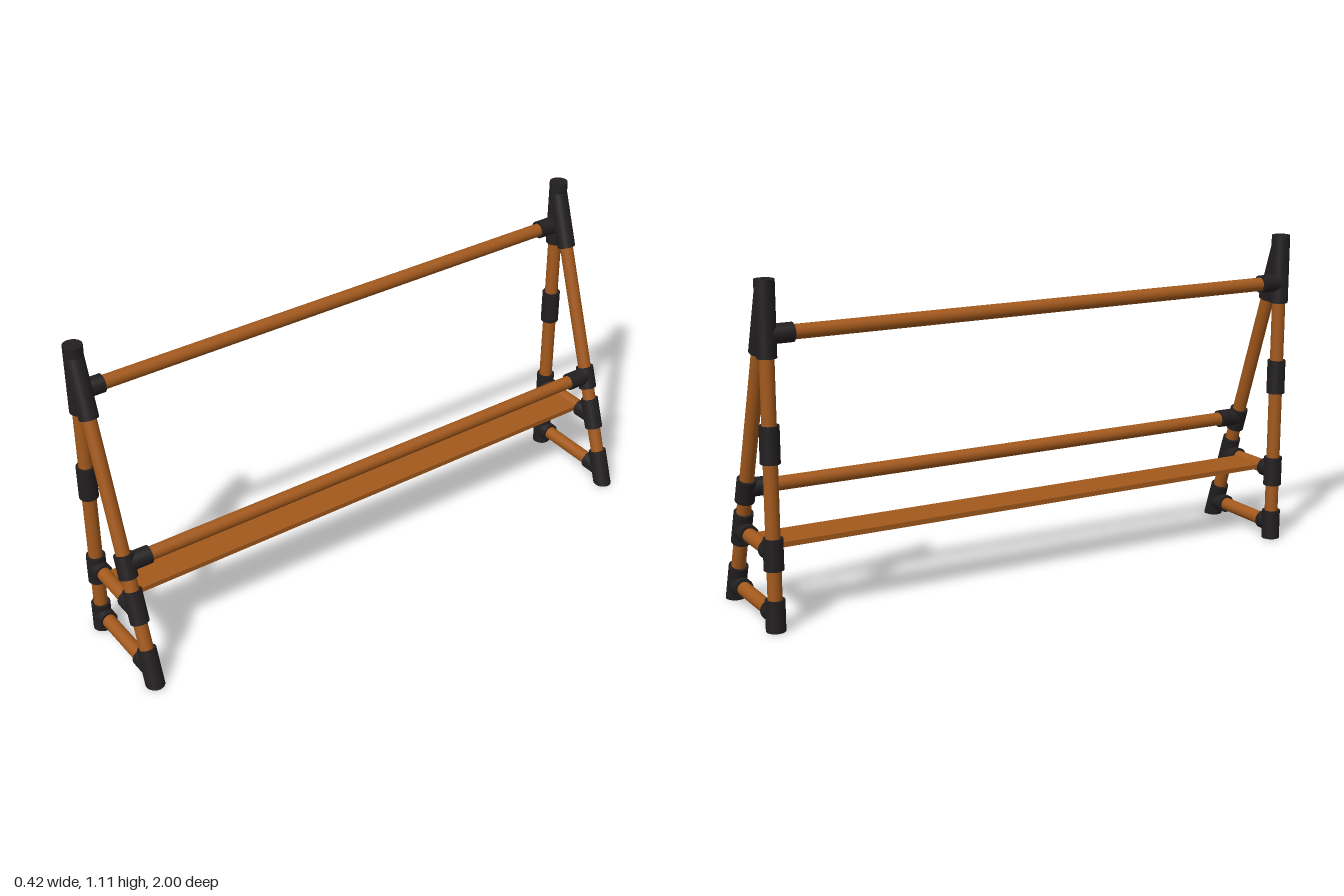
import * as THREE from 'three';

const PIPE_R = 0.0235, SLEEVE_R = 0.032;
const POST_X = -0.177, END_Z = 0.968;

// x of the slanted leg's axis at height y
const legX = (y) => 0.179 - 0.332 * y;

export function createModel() {
  const model = new THREE.Group();
  model.name = 'rack';
  const wood = new THREE.MeshStandardMaterial({ color: 0xa3591c });
  const black = new THREE.MeshStandardMaterial({ color: 0x231f20 });

  // Round bar between two points
  function rod(parent, name, a, b, radius, material) {
    const start = new THREE.Vector3(...a), end = new THREE.Vector3(...b);
    const dir = end.clone().sub(start);
    const geometry = new THREE.CylinderGeometry(radius, radius, dir.length(), 32);
    const mesh = new THREE.Mesh(geometry, material);
    mesh.position.copy(start).add(end).multiplyScalar(0.5);
    mesh.quaternion.setFromUnitVectors(new THREE.Vector3(0, 1, 0), dir.normalize());
    mesh.name = name;
    parent.add(mesh);
    return mesh;
  }

  // Slanted sleeve whose lower end is cut level with the ground
  function footSleeve(parent, topY, z) {
    const geometry = new THREE.CylinderGeometry(SLEEVE_R, SLEEVE_R, 1, 32);
    const axis = new THREE.Vector3(legX(0) - legX(1), -1, 0).normalize();
    const across = new THREE.Vector3(-axis.y, axis.x, 0);
    const top = new THREE.Vector3(legX(topY), topY, z);
    const p = geometry.attributes.position;
    for (let i = 0; i < p.count; i++) {
      const upper = p.getY(i) > 0;
      const v = top.clone().addScaledVector(across, p.getX(i));
      v.z += p.getZ(i);
      if (!upper) v.addScaledVector(axis, -v.y / axis.y);
      p.setXYZ(i, v.x, v.y, v.z);
    }
    geometry.computeVertexNormals();
    const mesh = new THREE.Mesh(geometry, black);
    mesh.name = 'footSleeve';
    parent.add(mesh);
  }

  for (const side of [1, -1]) {
    const z = side * END_Z;
    const frame = new THREE.Group();
    frame.name = side > 0 ? 'frontFrame' : 'backFrame';
    model.add(frame);

    // Upright post and its sleeves
    rod(frame, 'post', [POST_X, 0.01, z], [POST_X, 1.1, z], PIPE_R, wood);
    for (const [y0, y1] of [[0, 0.104], [0.201, 0.304], [0.543, 0.663], [0.872, 1.113]])
      rod(frame, 'postSleeve', [POST_X, y0, z], [POST_X, y1, z], SLEEVE_R, black);

    // Slanted leg and its sleeves
    rod(frame, 'slantedLeg', [legX(0.03), 0.03, z], [legX(1.05), 1.05, z], PIPE_R, wood);
    for (const [y0, y1] of [[0.213, 0.321], [0.364, 0.441], [0.879, 1.07]])
      rod(frame, 'legSleeve', [legX(y0), y0, z], [legX(y1), y1, z], SLEEVE_R, black);
    footSleeve(frame, 0.123, z);

    // Crossbars with a tee at each end
    for (const [y, teeX] of [[0.055, 0.094], [0.256, 0.026]]) {
      rod(frame, 'crossbar', [POST_X, y, z], [legX(y), y, z], PIPE_R, wood);
      rod(frame, 'postTee', [POST_X, y, z], [-0.127, y, z], SLEEVE_R, black);
      rod(frame, 'legTee', [teeX, y, z], [legX(y), y, z], SLEEVE_R, black);
    }

    // Sockets for the long rails
    for (const [x, y] of [[POST_X, 0.944], [legX(0.409), 0.409]])
      rod(frame, 'railSocket', [x, y, z], [x, y, side * 0.882], 0.031, black);
  }

  // Long rails
  rod(model, 'upperRail', [POST_X, 0.944, -END_Z], [POST_X, 0.944, END_Z], PIPE_R, wood);
  rod(model, 'lowerRail', [legX(0.409), 0.409, -END_Z], [legX(0.409), 0.409, END_Z], PIPE_R, wood);

  // Shelf board
  const shelf = new THREE.Mesh(new THREE.BoxGeometry(0.142, 0.017, 1.92), wood);
  shelf.position.set(-0.05, 0.257, 0);
  shelf.name = 'shelf';
  model.add(shelf);

  return model;
}
